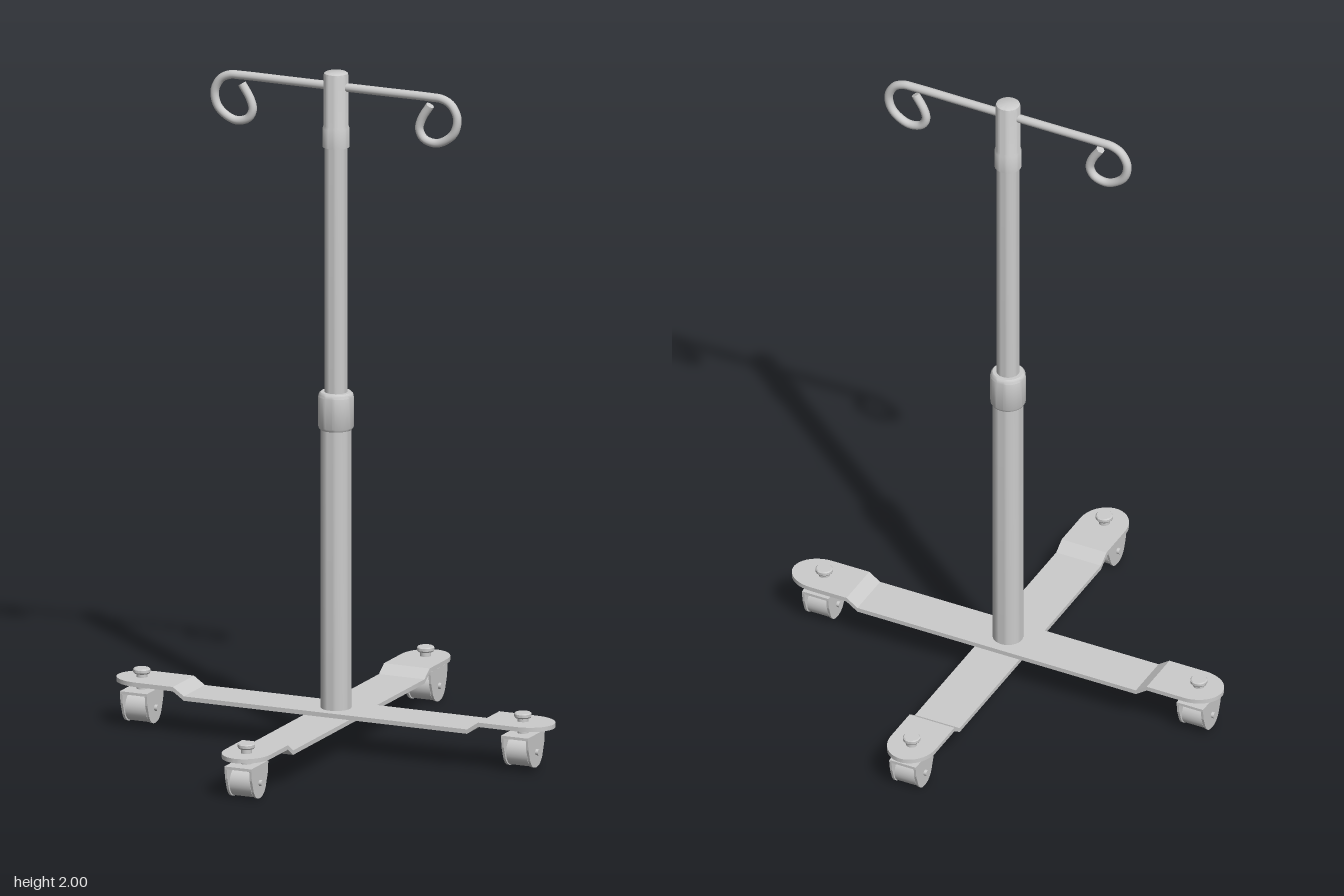
import * as THREE from 'three';
import { toCreasedNormals } from 'three/addons/utils/BufferGeometryUtils.js';

const material = new THREE.MeshStandardMaterial({ color: 0xcccccc });

function add(parent, name, geometry, x = 0, y = 0, z = 0) {
  const mesh = new THREE.Mesh(geometry, material);
  mesh.name = name;
  mesh.position.set(x, y, z);
  parent.add(mesh);
  return mesh;
}

// Turned part from [radius, y] pairs, with crisp edges
function turned(points, sides = 32) {
  const profile = points.map(([r, y]) => new THREE.Vector2(r, y));
  return toCreasedNormals(new THREE.LatheGeometry(profile, sides), 0.6);
}

// Flat bar with elliptical ends, stepped up near both ends
function barGeometry() {
  const half = [[0, 1, 0], [0.447, 1, 0], [0.482, 1, 0.024], [0.6, 1, 0.024]];
  for (let i = 1; i <= 10; i++) {
    const a = (i / 10) * Math.PI / 2;
    half.push([0.6 + 0.087 * Math.sin(a), Math.max(0.06, Math.cos(a)), 0.024]);
  }
  const stations = [
    ...half.slice(1).reverse().map(([x, w, lift]) => [-x, w, lift]),
    ...half,
  ];
  const n = stations.length - 1;
  const geometry = new THREE.BoxGeometry(n, 0.013, 0.144, n, 1, 1);
  const p = geometry.attributes.position;
  for (let i = 0; i < p.count; i++) {
    const [x, w, lift] = stations[Math.round(p.getX(i) + n / 2)];
    p.setXYZ(i, x, p.getY(i) + lift, p.getZ(i) * w);
  }
  return toCreasedNormals(geometry, 0.45);
}

// Tapered side cheek of a caster, rounded at the bottom
function cheekGeometry() {
  const s = new THREE.Shape();
  s.moveTo(-0.058, 0.098);
  s.lineTo(-0.054, 0.062);
  s.lineTo(-0.041, 0.026);
  s.quadraticCurveTo(-0.028, 0, 0, 0);
  s.quadraticCurveTo(0.028, 0, 0.041, 0.026);
  s.lineTo(0.054, 0.062);
  s.lineTo(0.058, 0.098);
  s.closePath();
  const geometry = new THREE.ExtrudeGeometry(s, { depth: 0.007, bevelEnabled: false, curveSegments: 8 });
  return geometry.translate(0, 0, -0.0035).rotateY(Math.PI / 2);
}

function createCaster() {
  const caster = new THREE.Group();
  caster.name = 'caster';
  const cheek = cheekGeometry();
  for (const side of [-1, 1]) add(caster, 'casterCheek', cheek, side * 0.039);
  add(caster, 'casterTopPlate', new THREE.BoxGeometry(0.085, 0.008, 0.116), 0, 0.094, 0);
  add(caster, 'wheel', new THREE.CylinderGeometry(0.043, 0.043, 0.066, 28).rotateZ(Math.PI / 2), 0, 0.045, 0);
  add(caster, 'axle', new THREE.CylinderGeometry(0.009, 0.009, 0.102, 14).rotateZ(Math.PI / 2), 0, 0.045, 0);
  // Stem through the bar and the bolt head on top
  add(caster, 'casterStem', new THREE.CylinderGeometry(0.016, 0.016, 0.056, 18), 0, 0.122, 0);
  add(caster, 'boltHead', turned([[0, 0.143], [0.022, 0.143], [0.025, 0.147], [0.025, 0.155], [0.022, 0.158], [0, 0.158]], 20));
  return caster;
}

export function createModel() {
  const stand = new THREE.Group();
  stand.name = 'wheeledPoleStand';

  // Crossed base bars
  const bar = barGeometry();
  add(stand, 'sideBar', bar, 0, 0.114, 0);
  add(stand, 'frontBackBar', bar, 0, 0.099, 0).rotation.y = Math.PI / 2;

  // Casters at the four bar ends
  for (const [x, y, z] of [[-0.613, 0.012, 0], [0.59, 0.012, 0], [0, 0, 0.61], [0, 0, -0.61]]) {
    const caster = createCaster();
    caster.position.set(x, y, z);
    stand.add(caster);
  }

  // Telescopic pole
  add(stand, 'lowerTube', turned([[0, 0.112], [0.044, 0.112], [0.044, 0.96], [0, 0.96]]));
  add(stand, 'heightCollar', turned([
    [0.04, 0.945], [0.047, 0.945], [0.051, 0.952], [0.051, 1.042], [0.049, 1.05], [0.044, 1.055], [0.03, 1.055],
  ]));
  add(stand, 'upperTube', turned([[0.033, 0.95], [0.033, 1.8]]));
  add(stand, 'topSleeve', turned([
    [0.03, 1.78], [0.039, 1.78], [0.039, 1.835], [0.036, 1.842],
    [0.036, 1.99], [0.034, 1.997], [0.029, 2.0], [0, 2.0],
  ]));

  // Crossbar with a curled hook at each end
  const curl = [
    [0.3, 1.958], [0.335, 1.956], [0.364, 1.941], [0.383, 1.902], [0.37, 1.855], [0.32, 1.824],
    [0.278, 1.833], [0.263, 1.86], [0.27, 1.89], [0.296, 1.932],
  ];
  const point = side => ([x, y]) => new THREE.Vector3(side * x, y, 0);
  const path = new THREE.CatmullRomCurve3([
    ...curl.map(point(-1)).reverse(),
    ...[-0.15, 0, 0.15].map(x => new THREE.Vector3(x, 1.958, 0)),
    ...curl.map(point(1)),
  ]);
  add(stand, 'hookBar', new THREE.TubeGeometry(path, 160, 0.0125, 14));
  for (const end of [path.getPoint(0), path.getPoint(1)]) {
    const cap = add(stand, 'hookEnd', new THREE.CylinderGeometry(0.0125, 0.0125, 0.004, 14), end.x, end.y, 0);
    cap.rotation.z = -Math.sign(end.x) * 0.55;
  }
  return stand;
}
